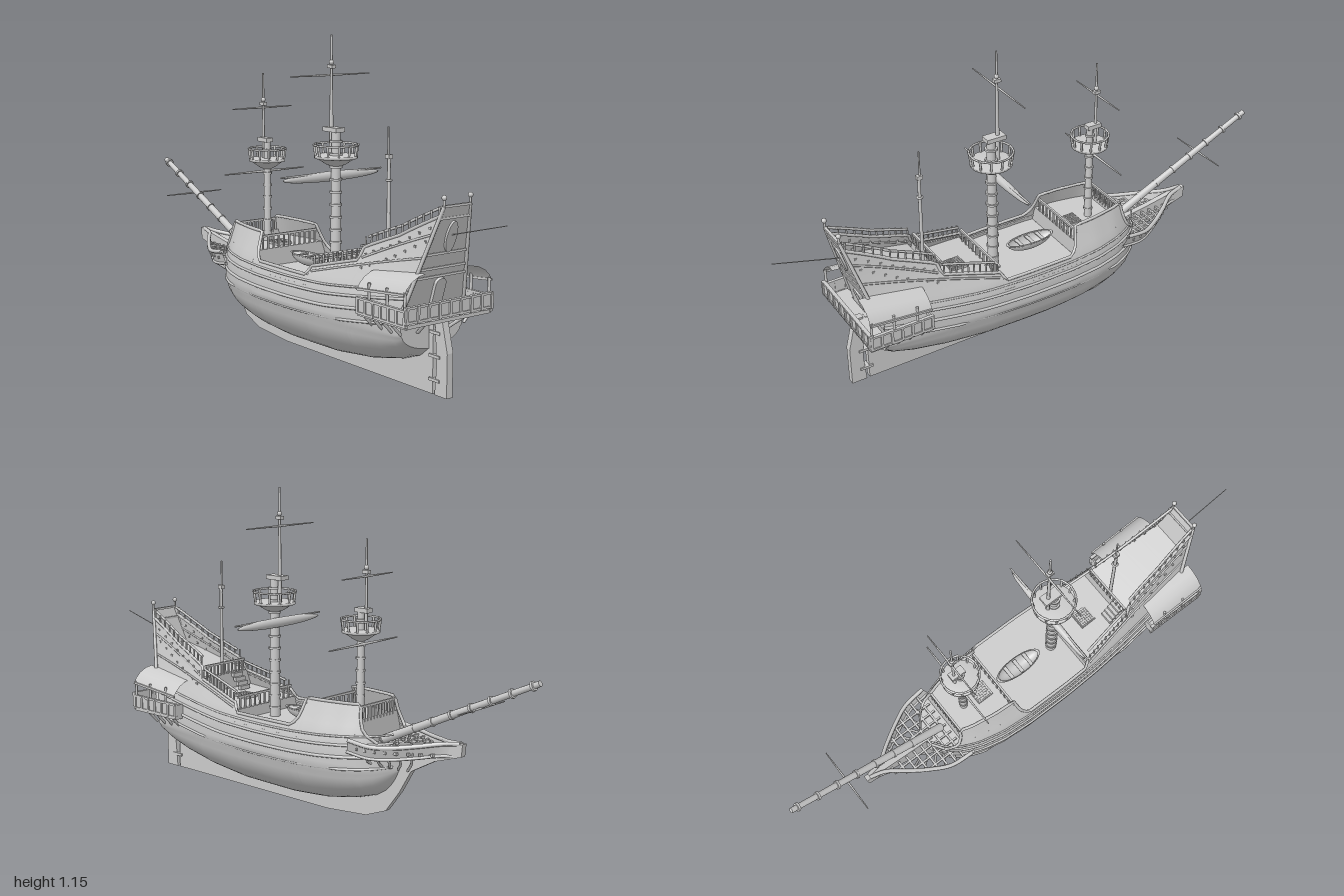
import * as THREE from 'three';

const mat = new THREE.MeshStandardMaterial({ color: 0xcccccc, side: THREE.DoubleSide });
const V = (x, y, z) => new THREE.Vector3(x, y, z);

// piecewise linear lookup in [[key, value], ...]
function look(t, x) {
  if (x <= t[0][0]) return t[0][1];
  for (let i = 1; i < t.length; i++) if (x <= t[i][0]) {
    const [a, b] = t[i - 1], [c, d] = t[i];
    return b + (d - b) * (x - a) / (c - a);
  }
  return t[t.length - 1][1];
}
const BEAM = [[-.45, .006], [-.435, .05], [-.41, .085], [-.37, .118], [-.3, .15], [-.2, .171], [-.08, .179], [.1, .179], [.25, .173], [.4, .162], [.55, .148], [.67, .135]];
const BOTTOM = [[-.45, .21], [-.43, .17], [-.4, .13], [-.35, .1], [-.27, .075], [-.15, .052], [0, .04], [.25, .042], [.42, .06], [.55, .088], [.63, .117], [.67, .15]];
const SHEER = [[-.45, .3], [-.41, .31], [-.37, .345], [-.35, .39], [-.34, .44], [-.12, .435], [-.112, .395], [-.1, .36], [-.08, .337], [.2, .335], [.21, .365], [.415, .42], [.425, .465], [.55, .525], [.67, .61]];
const TUMBLE = [[.2, 1], [.27, 1], [.3, .98], [.335, .93], [.39, .8], [.44, .69], [.52, .56], [.64, .42]];
const MID = .21;

// point of the hull skin at station s and height y
function skin(s, y, out = 0) {
  const w = look(BEAM, s), b = look(BOTTOM, s), rake = .3 * Math.pow((s + .45) / 1.12, 4);
  let z;
  if (y < MID) {
    const c = Math.min(1, Math.max(0, (MID - y) / Math.max(.001, MID - b)));
    z = w * .96 * Math.pow(1 - c * c, .55);
  } else z = w * look(TUMBLE, y);
  return V(s + Math.max(0, y - .27) * rake, y, z + out);
}

// surface through equally long rows of points
function loft(rows) {
  const n = rows[0].length, pos = [], idx = [];
  rows.forEach(r => r.forEach(p => pos.push(p.x, p.y, p.z)));
  for (let i = 0; i < rows.length - 1; i++) for (let j = 0; j < n - 1; j++) {
    const a = i * n + j, b = a + n;
    idx.push(a, b, a + 1, b, b + 1, a + 1);
  }
  const g = new THREE.BufferGeometry();
  g.setAttribute('position', new THREE.Float32BufferAttribute(pos, 3));
  g.setIndex(idx);
  g.computeVertexNormals();
  return g;
}
const flip = p => V(p.x, p.y, -p.z);

export function createModel() {
  const root = new THREE.Group();
  root.name = 'sailingShip';
  const add = (name, geo, x = 0, y = 0, z = 0, parent = root) => {
    const m = new THREE.Mesh(geo, mat);
    m.name = name; m.position.set(x, y, z); parent.add(m);
    return m;
  };
  const box = (name, w, h, d, x, y, z, parent) => add(name, new THREE.BoxGeometry(w, h, d), x, y, z, parent);
  const rod = (name, a, b, r0, r1 = r0, seg = 8, parent = root) => {
    const d = b.clone().sub(a);
    const m = add(name, new THREE.CylinderGeometry(r1, r0, d.length(), seg), 0, 0, 0, parent);
    m.position.copy(a).addScaledVector(d, .5);
    m.quaternion.setFromUnitVectors(V(0, 1, 0), d.normalize());
    return m;
  };
  const tube = (name, pts, r) => add(name, new THREE.TubeGeometry(new THREE.CatmullRomCurve3(pts, false, 'centripetal'), 60, r, 6));
  const pairTube = (name, pts, r) => { tube(name + 'Left', pts, r); tube(name + 'Right', pts.map(flip), r); };
  const plate = (name, pts, t) => {
    const g = new THREE.ExtrudeGeometry(new THREE.Shape(pts.map(p => new THREE.Vector2(...p))), { depth: t, bevelEnabled: false });
    return add(name, g, 0, 0, -t / 2);
  };

  // hull skin, with extra stations at the steps of the sheer
  const st = new Set(SHEER.map(p => p[0]));
  for (let i = 0; i <= 56; i++) st.add(+(-.45 + 1.12 * i / 56).toFixed(3));
  const stations = [...st].sort((a, b) => a - b);
  const half = s => {
    const b = look(BOTTOM, s), t = look(SHEER, s), col = [];
    for (let i = 0; i <= 12; i++) col.push(skin(s, MID - (MID - b) * Math.cos(i / 12 * Math.PI / 2)));
    for (let i = 1; i <= 12; i++) col.push(skin(s, MID + (t - MID) * i / 12));
    return col;
  };
  add('hull', loft(stations.map(s => { const h = half(s); return [...h.slice().reverse(), ...h.slice(1).map(flip)]; })));
  add('transom', loft(half(.67).map(p => [p, flip(p)])));
  plate('keelAndStem', [[-.715, .35], [-.71, .305], [-.6, .27], [-.5, .215], [-.45, .13], [-.39, .05], [-.3, .015], [-.12, 0], [.69, 0], [.69, .27], [.62, .27], [.62, .14], [.45, .09], [0, .06], [-.25, .1], [-.4, .17], [-.42, .3], [-.55, .32]], .022);
  plate('rudder', [[.702, 0], [.76, 0], [.76, .15], [.735, .25], [.73, .275], [.698, .275], [.71, .1]], .026);
  for (const y of [.05, .13, .21]) box('rudderHinge', .05, .01, .034, .7, y, 0);

  // wales, wrapping strakes and the cap rail
  const line = (a, b, f, out) => Array.from({ length: 29 }, (_, i) => { const s = a + (b - a) * i / 28; return skin(s, f(s), out); });
  [[.2, .005], [.243, .006], [.285, .005], [.315, .004]].forEach(([y, r]) =>
    pairTube('wale', line(-.44, .67, s => y + .09 * Math.pow(s - .08, 2) + .05 * Math.max(0, s - .3), .001), r));
  pairTube('sternStrake', line(.22, .67, s => .35 + .27 * (s - .22), .001), .004);
  pairTube('upperSternStrake', line(.43, .67, s => .43 + .5 * (s - .43), .001), .004);
  pairTube('capRail', stations.filter(s => s >= -.41).map(s => skin(s, look(SHEER, s))), .006);

  // decks and cross bulkheads
  const deck = (name, a, b, ya, yb) => add(name, loft(Array.from({ length: 13 }, (_, i) => {
    const k = i / 12, p = skin(a + (b - a) * k, ya + (yb - ya) * k);
    return [p, flip(p)];
  })));
  const bulkhead = (name, s, y0, y1) => add(name, loft([0, .25, .5, .75, 1].map(k => {
    const p = skin(s, y0 + (y1 - y0) * k); return [p, flip(p)].map(q => V(s, q.y, q.z));
  })));
  deck('beakDeck', -.44, -.34, .285, .285);
  deck('foreDeck', -.34, -.12, .365, .365);
  deck('mainDeck', -.12, .21, .3, .3);
  deck('quarterDeck', .21, .43, .34, .36);
  deck('poopDeck', .43, .67, .42, .5);
  bulkhead('foreBulkhead', -.34, .285, .385);
  bulkhead('foreDeckBreak', -.12, .3, .365);
  bulkhead('quarterDeckBreak', .21, .3, .34);
  bulkhead('poopBreak', .43, .355, .42);
  for (const [s, y, h] of [[-.34, .375, .055], [-.12, .365, .05], [.215, .34, .045], [.43, .42, .045]]) {
    const w = skin(s, y + h).z;
    box('deckRail', .008, .008, 2 * w, s, y + h, 0);
    for (let i = -5; i <= 5; i++) box('baluster', .006, h, .006, s, y + h / 2, i * w / 5.5);
  }
  // stern side rails
  for (const [a, b, h, n] of [[.225, .41, .035, 9], [.43, .665, .032, 11]]) {
    pairTube('sternRail', line(a, b, s => look(SHEER, s) + h, -.002), .005);
    for (let i = 0; i <= n; i++) for (const m of [1, -1]) {
      const s = a + (b - a) * i / n, p = skin(s, look(SHEER, s), -.001);
      rod('railPost', V(p.x, p.y, m * p.z), V(p.x, p.y + h, m * p.z), .0035, .0035, 6);
    }
  }
  // stern side ports and rivet blocks
  for (const m of [1, -1]) for (let i = 0; i < 8; i++) for (const d of [.03, .075]) {
    const s = .44 + i * .03, p = skin(s, look(SHEER, s) - d);
    box('sideBlock', .008, .008, .008, p.x, p.y, m * p.z);
  }

  // deck fittings
  for (const [x, y] of [[-.18, .368], [.32, .352]]) {
    box('hatchFrame', .066, .01, .066, x, y, 0);
    for (let i = -3; i <= 3; i++) {
      box('hatchBar', .004, .006, .06, x + i * .009, y + .006, 0);
      box('hatchBar', .06, .006, .004, x, y + .006, i * .009);
    }
  }
  for (let i = 0; i < 4; i++) box('step', .014, .015, .05, .425 - i * .013, .41 - i * .015, .06);
  const boat = new THREE.Group(); boat.name = 'shipBoat'; boat.position.set(0, .35, 0); root.add(boat);
  add('boatHull', new THREE.SphereGeometry(1, 24, 8, 0, Math.PI * 2, Math.PI / 2, Math.PI / 2), 0, 0, 0, boat).scale.set(.095, .04, .034);
  const rim = add('boatRim', new THREE.TorusGeometry(1, .06, 6, 32).rotateX(Math.PI / 2), 0, 0, 0, boat);
  rim.scale.set(.095, .05, .034);
  for (const x of [-.045, 0, .045]) box('thwart', .014, .004, .058, x, -.006, 0, boat);

  // beakhead: side panels, rails, grating and knees
  const head = [V(-.7, .347, .004), V(-.64, .34, .02), V(-.57, .328, .068), V(-.5, .318, .112), V(-.43, .315, .146), V(-.34, .325, .157)];
  const foot = head.map(p => V(p.x + .015, p.y - .045, p.z * .93));
  const hc = new THREE.CatmullRomCurve3(head), fc = new THREE.CatmullRomCurve3(foot);
  const hp = hc.getPoints(24), fp = fc.getPoints(24);
  add('beakPanelLeft', loft(hp.map((p, i) => [p, fp[i]])));
  add('beakPanelRight', loft(hp.map((p, i) => [flip(p), flip(fp[i])])));
  pairTube('beakRail', head, .008);
  pairTube('beakLowerRail', foot, .006);
  const beakWidth = x => look(head.map(p => [p.x, p.z]), x);
  for (let i = 0; i < 8; i++) {
    const x = -.61 + i * .034;
    box('gratingBeam', .008, .01, 2 * beakWidth(x), x, .298, 0);
  }
  for (let i = -3; i <= 3; i++) {
    const z = i * .034, x0 = -.64 + Math.abs(z) * 1.25;
    box('gratingBar', -.35 - x0, .01, .007, (x0 - .35) / 2, .298, z);
  }
  for (let i = 0; i < 5; i++) {
    const q = fc.getPoint(.42 + i * .1);
    pairTube('beakKnee', [q, V(q.x + .015, q.y - .025, q.z * .75), V(Math.min(q.x + .05, -.41), .22, Math.min(q.z * .4, .05))], .005);
  }

  // stern gallery: floor, panelled parapets and side roofs
  box('galleryAft', .075, .012, .36, .715, .262, 0);
  box('aftParapet', .007, .042, .37, .753, .3, 0);
  for (const y of [.278, .325]) box('aftRail', .014, .008, .382, .753, y, 0);
  for (let i = -4; i <= 4; i++) box('aftPost', .014, .056, .01, .755, .3, i * .0463);
  for (const m of [1, -1]) {
    box('galleryFloor', .24, .012, .065, .632, .262, m * .155);
    box('sideParapet', .24, .04, .006, .632, .29, m * .184);
    box('frontParapet', .006, .045, .06, .514, .29, m * .157);
    for (const y of [.266, .315]) box('galleryRail', .248, .008, .012, .632, y, m * .185);
    for (let i = 0; i <= 6; i++) box('galleryPost', .009, .056, .013, .515 + i * .039, .29, m * .185);
    for (const x of [.57, .66, .745]) rod('roofPost', V(x, .31, m * .184), V(x, .375, m * .184), .005);
    const arc = [[.1, .425], [.13, .42], [.16, .405], [.18, .386], [.192, .365]];
    add('galleryRoof', loft([.515, .75].map((x, i) => arc.map(([z, y]) => V(x, y - (i ? 0 : .022), m * z)))));
    box('roofEave', .235, .008, .008, .632, .357, m * .19).rotation.z = .093;
    for (let i = 0; i < 4; i++) rod('galleryBracket', V(.54 + i * .045, .26, m * .18), V(.54 + i * .045, .215, m * .138), .006, .005);
    rod('aftBracket', V(.74, .262, m * .09), V(.68, .215, m * .07), .006);
    rod('galleryBracket', V(.74, .262, m * .17), V(.68, .235, m * .12), .006);
    // transom corner posts with finials
    const lo = skin(.67, .3), hi = skin(.67, .64);
    rod('cornerPost', V(lo.x, lo.y, m * lo.z), V(hi.x, hi.y, m * hi.z), .007, .006);
    add('finial', new THREE.SphereGeometry(.009, 10, 8), hi.x, .668, m * hi.z);
    rod('finialStem', V(hi.x, .63, m * hi.z), V(hi.x, .665, m * hi.z), .004);
  }
  // transom mouldings, oval panel and door
  for (const y of [.4, .43, .48, .6, .64]) { const p = skin(.67, y); box('transomMoulding', .01, .008, 2 * p.z, p.x, y, 0); }
  const board = add('taffrail', loft([.6, .64].map(y => { const p = skin(.67, y); return [p, flip(p)]; })));
  board.position.x = .002;
  const lean = Math.atan(.3);
  const oval = add('ovalPanel', new THREE.CylinderGeometry(1, 1, .008, 28).rotateZ(Math.PI / 2), .755, .535, 0);
  oval.scale.set(1, .055, .022); oval.rotation.z = -lean;
  box('door', .012, .08, .045, .695, .335, 0).rotation.z = -lean;
  const arch = add('doorArch', new THREE.CylinderGeometry(.0225, .0225, .012, 20).rotateZ(Math.PI / 2), .706, .372, 0);
  arch.rotation.z = -lean;
  rod('outrigger', V(.755, .54, 0), V(1, .605, 0), .002, .0015, 6);

  // masts with bands, fighting tops and topmasts
  const mast = (name, x, y0, y1, r, tx, tip, topY, topR, knob) => {
    const g = new THREE.Group(); g.name = name; root.add(g);
    rod('lowerMast', V(x, y0, 0), V(x, y1, 0), r, r * .8, 14, g);
    for (let y = y0 + .05; y < y1 - .02; y += .045) rod('mastBand', V(x, y, 0), V(x, y + .008, 0), r * 1.15, r * 1.15, 14, g);
    rod('topmast', V(tx, topY, 0), V(tx, tip, 0), r * .42, .0035, 8, g);
    box('mastCap', r * 3.8, .016, r * 2, (x + tx) / 2, y1, 0, g);
    box('topCap', .026, .012, .018, tx, knob, 0, g);
    add('topKnob', new THREE.SphereGeometry(.009, 10, 8), tx, knob + .015, 0, g);
    const prof = [[.015, -.03], [topR * .45, -.022], [topR * .9, 0], [topR, 0], [topR, .01], [.01, .01]].map(p => new THREE.Vector2(...p));
    add('top', new THREE.LatheGeometry(prof, 28), x, topY, 0, g);
    add('topRail', new THREE.TorusGeometry(topR * 1.02, .004, 6, 32).rotateX(Math.PI / 2), x, topY + .047, 0, g);
    for (let i = 0; i < 12; i++) {
      const a = i * Math.PI / 6, c = Math.cos(a) * topR, s = Math.sin(a) * topR;
      rod('topPost', V(x + c * .93, topY, s * .93), V(x + c * 1.02, topY + .05, s * 1.02), .004, .005, 6, g);
    }
  };
  mast('foremast', -.26, .3, .75, .015, -.284, 1, .67, .068, .885);
  mast('mainmast', .16, .28, .825, .02, .133, 1.155, .725, .077, 1.045);
  rod('mizzenMast', V(.447, .34, 0), V(.447, .76, 0), .007, .006);
  rod('mizzenTopmast', V(.443, .74, 0), V(.443, .86, 0), .004, .003);
  box('mizzenCap', .022, .014, .016, .446, .76, 0);
  add('mizzenCollar', new THREE.TorusGeometry(.009, .004, 6, 14).rotateX(Math.PI / 2), .447, .68, 0);

  // bowsprit
  const b0 = V(-.37, .305, 0), b1 = V(-1, .598, 0);
  rod('bowsprit', b0, b1, .016, .01, 12);
  for (let i = 1; i < 8; i++) {
    const p = b0.clone().lerp(b1, i / 8 + .08), q = b0.clone().lerp(b1, i / 8 + .092);
    rod('bowspritBand', p, q, .017, .0165, 12);
  }

  // yards, thickest in the middle
  const yard = (name, x, y, l, r) => { for (const m of [1, -1]) rod(name, V(x, y, 0), V(x, y, m * l), r, r * .5); };
  yard('bowspritYard', -.78, .483, .13, .004);
  yard('foreYard', -.275, .63, .182, .005);
  yard('foreTopYard', -.289, .87, .135, .004);
  yard('mainYard', .14, .67, .225, .006);
  yard('mainTopYard', .128, 1.015, .175, .004);
  // furled sail, bunched under the main yard
  add('furledSail', new THREE.SphereGeometry(1, 12, 24), .137, .658, 0).scale.set(.014, .018, .215);
  return root;
}
